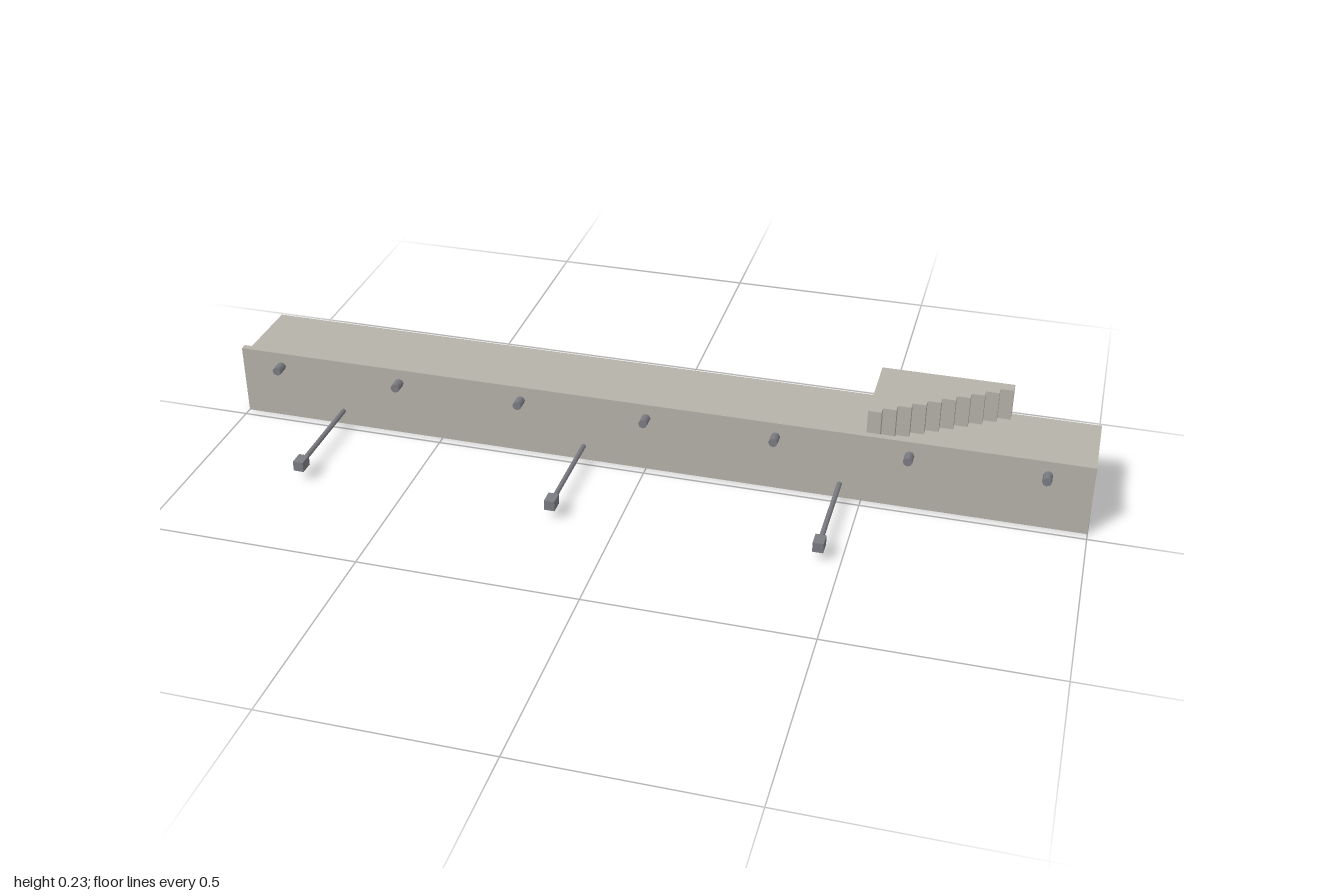
import * as THREE from 'three';

export function createModel() {
  const model = new THREE.Group();
  const stone = new THREE.MeshStandardMaterial({ color: 0xb5b2a9 });
  stone.name = 'stone';
  const metal = new THREE.MeshStandardMaterial({ color: 0x7b7c82 });
  metal.name = 'metal';

  const FRONT = -0.021, BACK = -0.2375, LEDGE = -0.037;
  const DECK = 0.15, PARAPET = 0.17, ROOF = 0.225;

  const add = (name, geometry, material, x = 0, y = 0, z = 0) => {
    const mesh = new THREE.Mesh(geometry, material);
    mesh.name = name;
    mesh.position.set(x, y, z);
    model.add(mesh);
    return mesh;
  };
  const outline = (points) => new THREE.Shape(points.map(([x, y]) => new THREE.Vector2(x, y)));

  // Long wall with a thin parapet along the front: side profile (-z, y) swept along x
  const wall = new THREE.ExtrudeGeometry(outline([
    [-FRONT, 0], [-BACK, 0], [-BACK, DECK], [-LEDGE, DECK], [-LEDGE, PARAPET], [-FRONT, PARAPET],
  ]), { depth: 2, bevelEnabled: false });
  wall.translate(0, 0, -1).rotateY(Math.PI / 2);
  add('wall', wall, stone);

  // Raised block whose front edge retreats in ten steps: plan (x, -z) raised along y
  const plan = [[0.8, -BACK], [0.5, -BACK]];
  for (let i = 0; i < 10; i++) {
    const depth = -LEDGE + i * 0.0192;
    plan.push([0.5 + i * 0.03, depth], [0.53 + i * 0.03, depth]);
  }
  const block = new THREE.ExtrudeGeometry(outline(plan), { depth: ROOF - DECK, bevelEnabled: false });
  block.rotateX(-Math.PI / 2);
  add('steppedBlock', block, stone, 0, DECK, 0);

  // Row of short drain spouts below the parapet
  const spout = new THREE.CylinderGeometry(0.0105, 0.0105, 0.029, 8).rotateX(Math.PI / 2);
  for (let i = -3; i <= 3; i++) add('spout', spout, metal, i * 0.3, 0.136, -0.0065);

  // Lamps carried on long rods
  const rod = new THREE.CylinderGeometry(0.0058, 0.0058, 0.226, 8).rotateX(Math.PI / 2);
  const head = new THREE.BoxGeometry(0.024, 0.024, 0.034);
  for (const x of [-0.75, -0.15, 0.45]) {
    add('lampRod', rod, metal, x, 0.036, 0.092);
    add('lampHead', head, metal, x, 0.036, 0.2205);
  }

  return model;
}
